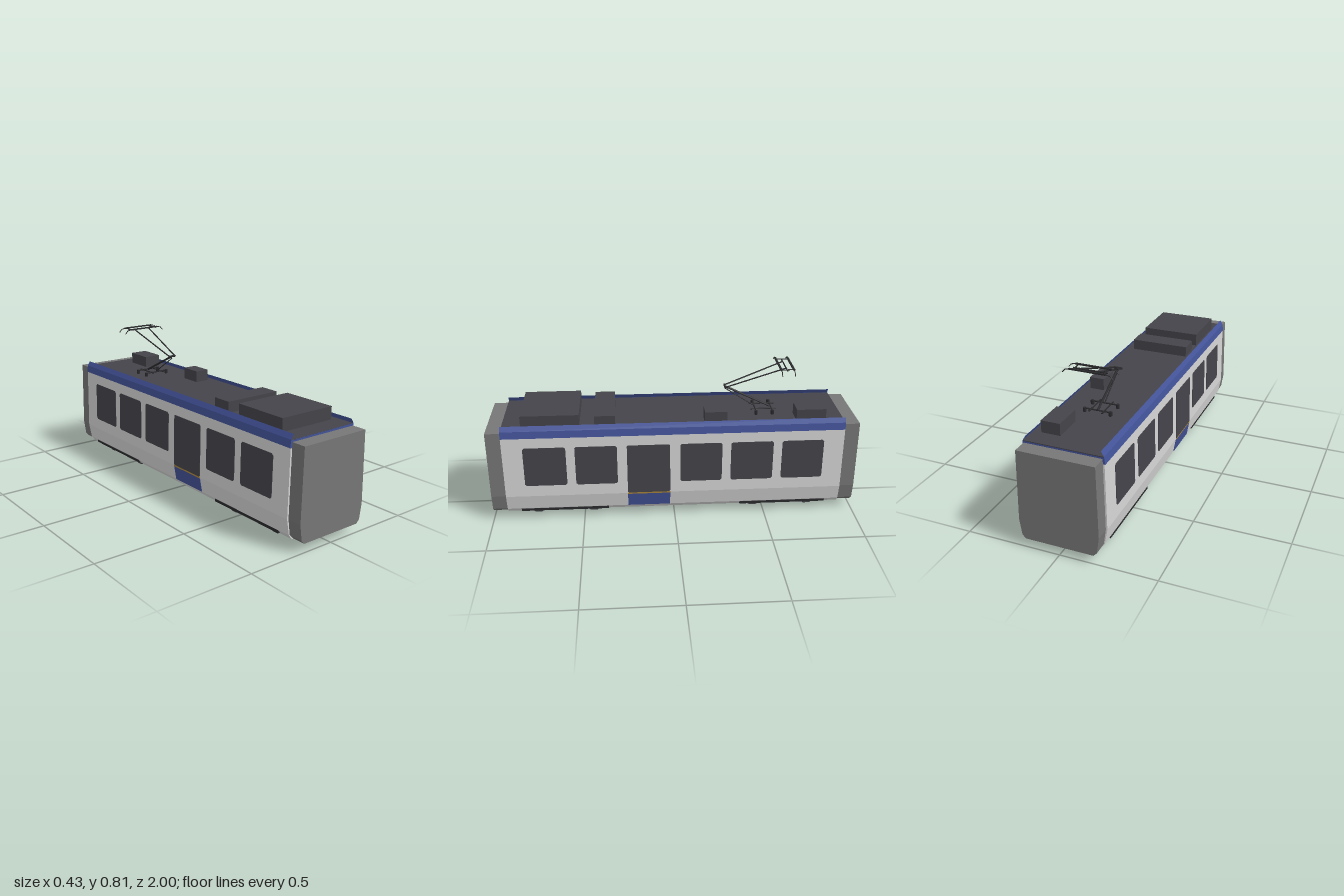
import * as THREE from 'three';

const mat = (name, color) => {
  const m = new THREE.MeshStandardMaterial({ color, side: THREE.DoubleSide });
  m.name = name;
  return m;
};

export function createModel() {
  const tram = new THREE.Group();
  tram.name = 'tramSection';
  const white = mat('bodyWhite', 0xd6d6d6);
  const grey = mat('gangwayGrey', 0x777777);
  const blue = mat('trimBlue', 0x43549a);
  const dark = mat('darkGrey', 0x45444a);
  const black = mat('black', 0x2b2b2e);
  const amber = mat('amber', 0xb08a3c);

  const add = (name, geo, material, parent = tram) => {
    const m = new THREE.Mesh(geo, material);
    m.name = name;
    parent.add(m);
    return m;
  };
  const box = (name, x0, x1, y0, y1, z0, z1, material, parent) => {
    const m = add(name, new THREE.BoxGeometry(x1 - x0, y1 - y0, z1 - z0), material, parent);
    m.position.set((x0 + x1) / 2, (y0 + y1) / 2, (z0 + z1) / 2);
    return m;
  };

  // Half cross-section of the body, [x, y] from the sill upwards
  const END = 0.92;
  const wall = [[0.18, 0.04], [0.2, 0.065], [0.215, 0.15], [0.208, 0.497]];
  const trim = [[0.208, 0.497], [0.212, 0.498], [0.206, 0.537], [0.191, 0.562]];
  const wallX = (y) => {
    for (let i = 1; i < wall.length; i++) {
      const [[xa, ya], [xb, yb]] = [wall[i - 1], wall[i]];
      if (y <= yb) return xa + ((xb - xa) * (y - ya)) / (yb - ya);
    }
    return wall[wall.length - 1][0];
  };

  // Open sheet swept along z from a half section
  const sheet = (pts, side) => {
    const pos = [];
    for (let i = 1; i < pts.length; i++) {
      const [a, b] = [pts[i - 1], pts[i]];
      const q = [[a, side * END], [a, -side * END], [b, -side * END], [b, side * END]];
      for (const k of [0, 1, 2, 0, 2, 3]) pos.push(side * q[k][0][0], q[k][0][1], q[k][1]);
    }
    const g = new THREE.BufferGeometry();
    g.setAttribute('position', new THREE.Float32BufferAttribute(pos, 3));
    g.computeVertexNormals();
    return g;
  };
  // Closed shape mirrored from a half section
  const section = (half) => new THREE.Shape([
    ...half.map(([x, y]) => new THREE.Vector2(x, y)),
    ...half.slice().reverse().map(([x, y]) => new THREE.Vector2(-x, y)),
  ]);

  // Thin panel with clipped corners, laid into the leaning side wall
  const panel = (name, side, z0, z1, y0, y1, c, material) => {
    const [u0, u1] = side > 0 ? [-z1, -z0] : [z0, z1];
    const s = new THREE.Shape([
      [u0 + c, y0], [u1 - c, y0], [u1, y0 + c], [u1, y1 - c],
      [u1 - c, y1], [u0 + c, y1], [u0, y1 - c], [u0, y0 + c],
    ].map(([u, v]) => new THREE.Vector2(u, v)));
    const g = new THREE.ExtrudeGeometry(s, { depth: 0.005, bevelEnabled: false });
    const p = g.attributes.position;
    for (let i = 0; i < p.count; i++) {
      const u = p.getX(i), y = p.getY(i), w = p.getZ(i) - 0.0025;
      p.setXYZ(i, side * (wallX(y) + w), y, -side * u);
    }
    g.computeVertexNormals();
    add(name, g, material);
  };

  // Side walls, trim, windows and doors
  const windows = [[0.583, 0.81], [0.31, 0.535], [-0.257, -0.03], [-0.535, -0.305], [-0.81, -0.583]];
  for (const side of [1, -1]) {
    add('sideWall', sheet(wall, side), white);
    add('roofTrim', sheet(trim, side), blue);
    for (const [z0, z1] of windows) panel('window', side, z0, z1, 0.215, 0.44, 0.009, dark);
    panel('doorWindow', side, 0.025, 0.257, 0.154, 0.44, 0.006, dark);
    panel('doorStripe', side, 0.025, 0.257, 0.145, 0.154, 0.001, amber);
    panel('doorPanel', side, 0.025, 0.257, 0.066, 0.145, 0.002, blue);
  }

  // Roof sheet and its equipment boxes
  box('roof', -0.204, 0.204, 0.533, 0.537, -END, END, dark);
  const boxes = [
    [-0.163, 0.163, 0.605, 0.505, 0.815],
    [-0.163, 0.163, 0.595, 0.315, 0.425],
    [0.085, 0.163, 0.6, -0.285, -0.165],
    [0.063, 0.163, 0.6, -0.82, -0.66],
  ];
  for (const [x0, x1, top, z0, z1] of boxes) box('roofBox', x0, x1, 0.537, top, z0, z1, dark);

  // End plates and gangway connections
  const gangway = [[0.178, 0.047], [0.196, 0.066], [0.208, 0.15], [0.2, 0.526]];
  for (const s of [1, -1]) {
    const end = add('endWall', new THREE.ShapeGeometry(section(wall)), white);
    const header = add('endTrim', new THREE.ShapeGeometry(section(trim.slice(1, 3))), blue);
    end.position.z = header.position.z = s * END;
    if (s < 0) end.rotation.y = header.rotation.y = Math.PI;
    const g = new THREE.ExtrudeGeometry(section(gangway), { depth: 0.078, bevelEnabled: false });
    add('gangway', g, grey).position.z = s > 0 ? 0.922 : -1;
  }

  // Bogies: side bars and wheels
  for (const side of [1, -1]) {
    for (const zc of [0.605, -0.605]) {
      box('bogieBar', side * 0.186 - 0.011, side * 0.186 + 0.011, 0.046, 0.064, zc - 0.24, zc + 0.24, black);
      for (const dz of [-0.155, 0.155]) {
        const g = new THREE.CylinderGeometry(0.056, 0.056, 0.018, 10).toNonIndexed();
        g.rotateZ(Math.PI / 2);
        g.computeVertexNormals();
        add('wheel', g, dark).position.set(side * 0.127, 0.054, zc + dz);
      }
    }
  }

  // Pantograph
  const panto = new THREE.Group();
  panto.name = 'pantograph';
  tram.add(panto);
  const rod = (name, a, b, r) => {
    const va = new THREE.Vector3(...a), d = new THREE.Vector3(...b).sub(va);
    const m = add(name, new THREE.CylinderGeometry(r, r, d.length(), 6), black, panto);
    m.position.copy(va).addScaledVector(d, 0.5);
    m.quaternion.setFromUnitVectors(new THREE.Vector3(0, 1, 0), d.normalize());
  };
  // Base frame on insulators
  for (const z of [-0.455, -0.545]) {
    rod('baseCrossbar', [-0.075, 0.556, z], [0.075, 0.556, z], 0.004);
    for (const x of [-0.07, 0.07]) rod('insulator', [x, 0.537, z], [x, 0.56, z], 0.009);
  }
  for (const x of [-0.035, 0.035]) rod('baseRail', [x, 0.556, -0.57], [x, 0.556, -0.43], 0.004);
  // Arms
  rod('lowerArm', [0, 0.556, -0.54], [0, 0.68, -0.288], 0.006);
  rod('controlRod', [0, 0.556, -0.46], [0, 0.668, -0.29], 0.003);
  rod('elbow', [-0.022, 0.68, -0.288], [0.022, 0.68, -0.288], 0.006);
  for (const s of [1, -1]) rod('upperArm', [s * 0.019, 0.68, -0.288], [s * 0.05, 0.797, -0.61], 0.004);
  // Collector head with curved horns
  rod('headAxle', [-0.09, 0.796, -0.61], [0.09, 0.796, -0.61], 0.004);
  for (const z of [-0.576, -0.644]) {
    box('contactStrip', -0.095, 0.095, 0.799, 0.806, z - 0.005, z + 0.005, black, panto);
    for (const s of [1, -1]) {
      rod('horn', [s * 0.094, 0.803, z], [s * 0.118, 0.797, z], 0.0025);
      rod('hornTip', [s * 0.118, 0.797, z], [s * 0.132, 0.781, z], 0.0025);
    }
  }
  for (const x of [-0.08, 0.08]) rod('headLink', [x, 0.799, -0.644], [x, 0.799, -0.576], 0.003);

  return tram;
}
